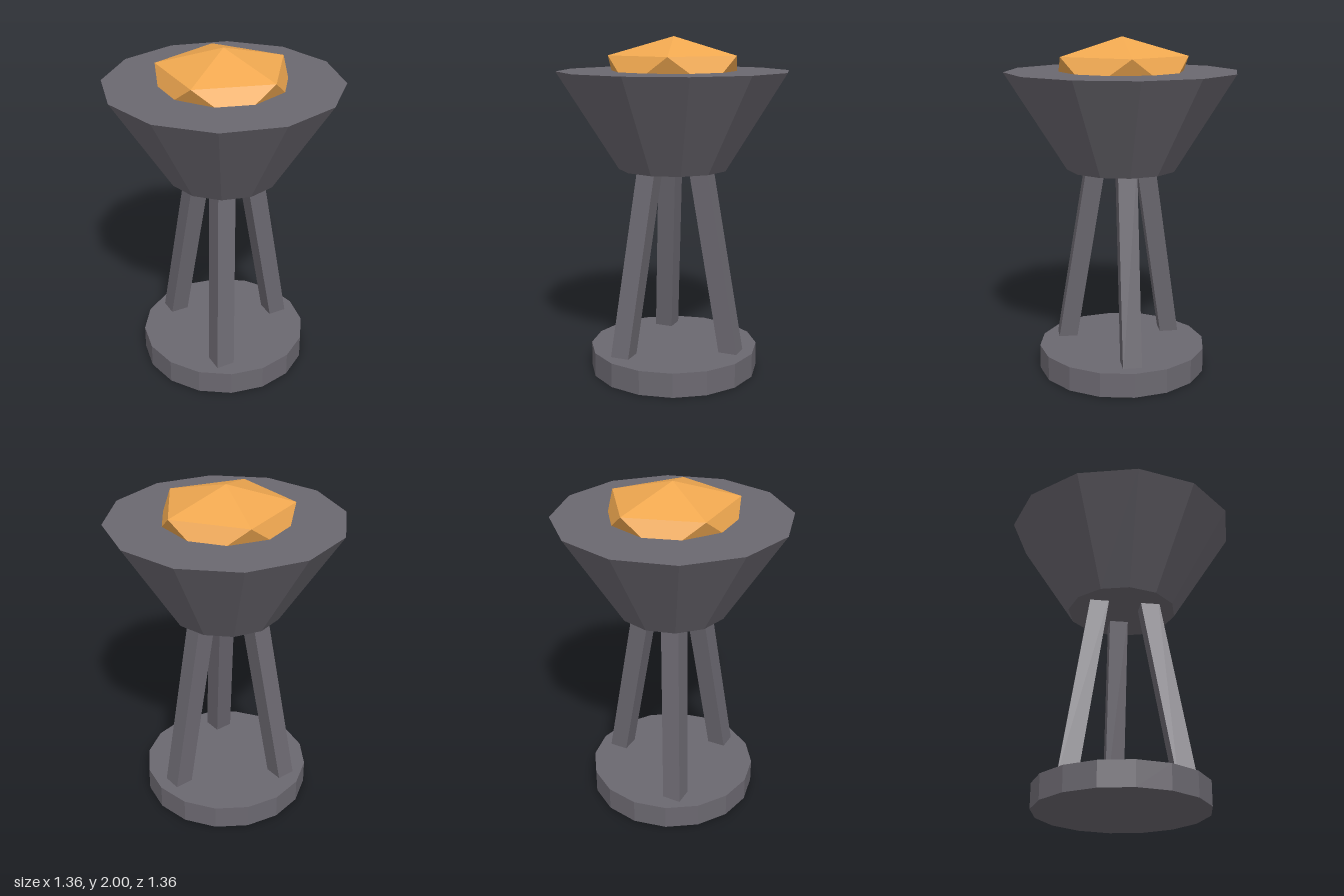
import * as THREE from 'three';
import { ConvexGeometry } from 'three/addons/geometries/ConvexGeometry.js';

export function createModel() {
  const group = new THREE.Group();
  const stone = new THREE.MeshStandardMaterial({ color: 0x6b6870, flatShading: true });
  const ember = new THREE.MeshStandardMaterial({ color: 0xf0a850, flatShading: true });

  const add = (name, geometry, material, y = 0) => {
    const mesh = new THREE.Mesh(geometry, material);
    mesh.name = name;
    mesh.position.y = y;
    group.add(mesh);
    return mesh;
  };

  // Round foot plate
  add('base', new THREE.CylinderGeometry(0.505, 0.505, 0.145, 16), stone, 0.0725);

  // Three square legs leaning inwards, ends buried in the base and bowl
  const up = new THREE.Vector3(0, 1, 0);
  for (let i = 0; i < 3; i++) {
    const a = (i * Math.PI * 2) / 3;
    const at = (r, y) => new THREE.Vector3(Math.cos(a) * r, y, Math.sin(a) * r);
    const foot = at(0.38, 0.09), head = at(0.165, 1.29);
    const leg = add('leg', new THREE.BoxGeometry(0.111, foot.distanceTo(head), 0.111), stone);
    leg.position.copy(foot).lerp(head, 0.5);
    leg.quaternion.setFromUnitVectors(up, head.sub(foot).normalize());
  }

  // Flared twelve-sided bowl with a flat top
  add('bowl', new THREE.CylinderGeometry(0.682, 0.325, 0.57, 12), stone, 1.518);

  // Flattened icosahedral ember, half sunk into the bowl
  const points = [new THREE.Vector3(0, 0.193, 0), new THREE.Vector3(0, -0.193, 0)];
  for (let i = 0; i < 10; i++) {
    const a = (i * Math.PI) / 5;
    points.push(new THREE.Vector3(Math.cos(a) * 0.385, i % 2 ? -0.0863 : 0.0863, Math.sin(a) * 0.385));
  }
  add('ember', new ConvexGeometry(points), ember, 1.807);

  return group;
}
